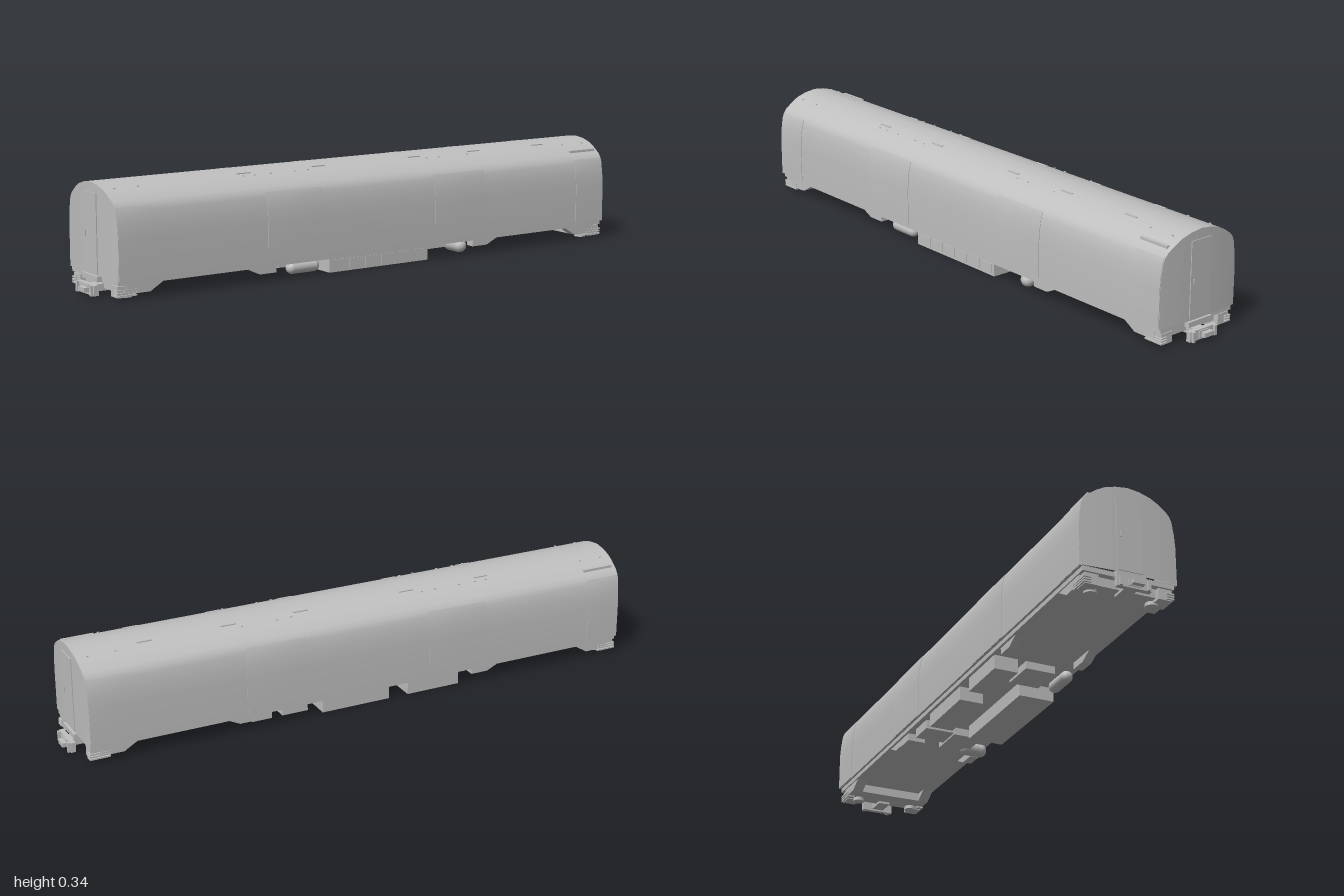
import * as THREE from 'three';
import { toCreasedNormals } from 'three/addons/utils/BufferGeometryUtils.js';

export function createModel() {
  const group = new THREE.Group();
  const grey = new THREE.MeshStandardMaterial({ color: 0xbfbfbf });
  grey.name = 'grey paint';

  const add = (name, geometry) => {
    const mesh = new THREE.Mesh(geometry, grey);
    mesh.name = name;
    group.add(mesh);
    return mesh;
  };
  // Box given by its limits on each axis
  const box = (name, x0, x1, y0, y1, z0, z1) => {
    const g = new THREE.BoxGeometry(x1 - x0, y1 - y0, z1 - z0);
    g.translate((x0 + x1) / 2, (y0 + y1) / 2, (z0 + z1) / 2);
    return add(name, g);
  };
  // Side outline of (z, y) points, extruded across x
  const sidePlate = (name, points, x0, x1) => {
    const shape = new THREE.Shape(points.map(([z, y]) => new THREE.Vector2(-z, y)));
    const g = new THREE.ExtrudeGeometry(shape, { depth: x1 - x0, bevelEnabled: false });
    g.rotateY(Math.PI / 2).translate(x0, 0, 0);
    return add(name, g);
  };

  // Half cross-section from the sill up to the roof ridge
  const half = [
    [0.156, 0.065], [0.156, 0.19], [0.153, 0.23], [0.147, 0.27], [0.141, 0.285],
    [0.129, 0.299], [0.1, 0.319], [0.075, 0.332], [0.04, 0.342], [0, 0.347],
  ];
  const profile = [...half, ...half.slice(0, -1).reverse().map(([x, y]) => [-x, y])];
  const endZ = (x) => 0.96 - 0.008 * (x / 0.156) ** 2;

  // Body shell
  const n = profile.length;
  const shell = new THREE.PlaneGeometry(1, 1, n - 1, 1);
  profile.forEach(([x, y], i) => {
    shell.attributes.position.setXYZ(i, x, y, endZ(x));
    shell.attributes.position.setXYZ(n + i, x, y, -endZ(x));
  });
  add('bodyShell', toCreasedNormals(shell, 0.6));

  // Bowed end walls
  const across = profile.slice(1, -1).reverse();
  for (const turn of [0, Math.PI]) {
    const wall = new THREE.PlaneGeometry(1, 1, across.length - 1, 1);
    across.forEach(([x, y], i) => {
      wall.attributes.position.setXYZ(i, x, y, endZ(x));
      wall.attributes.position.setXYZ(across.length + i, x, 0.065, endZ(x));
    });
    wall.computeVertexNormals();
    add(turn ? 'backWall' : 'frontWall', wall.rotateY(turn));
  }

  // Raised side panels that follow the wall curve
  const strip = half.slice(0, 5);
  const panel = (name, side, z0, z1) => {
    const outer = strip.map(([x, y]) => new THREE.Vector2(side * (x + 0.0018), y));
    const inner = strip.map(([x, y]) => new THREE.Vector2(side * (x - 0.002), y)).reverse();
    const g = new THREE.ExtrudeGeometry(new THREE.Shape([...outer, ...inner]), { depth: z1 - z0, bevelEnabled: false });
    add(name, toCreasedNormals(g.translate(0, 0, z0), 0.6));
  };
  for (const side of [1, -1]) {
    panel('middlePanel', side, 0.22, 0.43);
    panel('middlePanel', side, -0.43, -0.22);
    panel('cornerPanel', side, 0.83, 0.951);
    panel('cornerPanel', side, -0.951, -0.83);
    box('doorGutter', side * 0.116 - 0.006, side * 0.116 + 0.006, 0.306, 0.314,
      side > 0 ? -0.94 : 0.83, side > 0 ? -0.83 : 0.94);
    // Roof slots and rivets
    for (const z of [-0.73, -0.45, -0.2, 0.18, 0.46])
      box('roofSlot', side * 0.06 - 0.004, side * 0.06 + 0.004, 0.332, 0.3385, z - 0.025, z + 0.025);
    for (const z of [-0.92, -0.83, -0.41, -0.29, -0.24, 0.23, 0.28, 0.37, 0.43, 0.47, 0.84, 0.92])
      box('roofRivet', side * 0.078 - 0.002, side * 0.078 + 0.002, 0.328, 0.333, z - 0.003, z + 0.003);
  }

  // Floor and sill
  box('floor', -0.148, 0.148, 0.05, 0.0655, -0.95, 0.95);
  box('floorEdge', -0.156, 0.156, 0.0645, 0.0655, -0.951, 0.951);

  // Parts repeated at both ends
  for (const end of [1, -1]) {
    const first = group.children.length;
    box('endDoor', -0.04, 0.04, 0.07, 0.315, 0.95, 0.9625);
    box('doorHandle', -0.03, -0.027, 0.178, 0.196, 0.96, 0.966);
    box('doorStep', -0.048, 0.048, 0.048, 0.065, 0.94, 0.968);
    box('endBeam', -0.138, 0.138, 0.022, 0.052, 0.84, 0.93);
    // Coupler
    box('couplerStem', -0.02, 0.02, 0.014, 0.036, 0.9, 0.985);
    box('couplerHead', -0.055, 0.055, 0.008, 0.04, 0.966, 0.982);
    box('couplerFace', -0.012, 0.026, 0.017, 0.031, 0.982, 1.0);
    for (const s of [1, -1]) {
      box('couplerRib', s * 0.045 - 0.005, s * 0.045 + 0.005, 0.008, 0.04, 0.98, 0.99);
      // Corner step with slats, and a tapered bracket behind it
      box('cornerStep', s * 0.119 - 0.022, s * 0.119 + 0.022, 0.012, 0.047, 0.9, 0.948);
      for (const y of [0.015, 0.023, 0.031])
        box('stepSlat', s * 0.134 - 0.012, s * 0.134 + 0.012, y, y + 0.005, 0.885, 0.953);
      sidePlate('cornerBracket', [[0.79, 0.052], [0.84, 0.022], [0.92, 0.022], [0.92, 0.052]],
        s * 0.126 - 0.018, s * 0.126 + 0.018);
      const pad = new THREE.CylinderGeometry(0.02, 0.02, 0.012, 16);
      add('roundPad', pad.translate(s * 0.1, 0.012, 0.9));
    }
    if (end < 0) group.children.slice(first).forEach((m) => { m.rotation.y = Math.PI; });
  }

  // Equipment boxes under the floor
  box('mainEquipmentBox', 0.02, 0.14, 0.004, 0.052, -0.2, 0.19);
  for (let i = 0; i < 6; i++)
    box('equipmentDoor', 0.139, 0.142, 0.012, 0.044, -0.19 + i * 0.063, -0.14 + i * 0.063);
  box('sideEquipmentBox', -0.138, -0.058, 0.004, 0.052, 0.15, 0.34);
  box('sideEquipmentBox', -0.138, -0.058, 0.004, 0.052, -0.16, 0.08);
  box('smallEquipmentBox', -0.13, -0.03, 0.02, 0.052, -0.3, -0.21);
  box('smallEquipmentBox', -0.02, 0.08, 0.025, 0.052, -0.36, -0.23);
  box('smallEquipmentBox', -0.03, 0.07, 0.025, 0.052, 0.22, 0.34);
  box('smallEquipmentBox', -0.14, -0.08, 0.025, 0.052, -0.41, -0.34);

  // Tapered brackets towards the ends
  for (const end of [1, -1])
    for (const s of [1, -1])
      sidePlate('frameBracket', [[end * 0.5, 0.052], [end * 0.45, 0.028], [end * 0.39, 0.028], [end * 0.39, 0.052]],
        s * 0.125 - 0.015, s * 0.125 + 0.015);

  // Air tanks
  const longTank = new THREE.CapsuleGeometry(0.02, 0.08, 6, 20).rotateX(Math.PI / 2);
  add('longTank', longTank.translate(0.12, 0.032, 0.28));
  const crossTank = new THREE.CapsuleGeometry(0.023, 0.05, 6, 20).rotateZ(Math.PI / 2);
  add('crossTank', crossTank.translate(0.1, 0.034, -0.345));

  return group;
}
